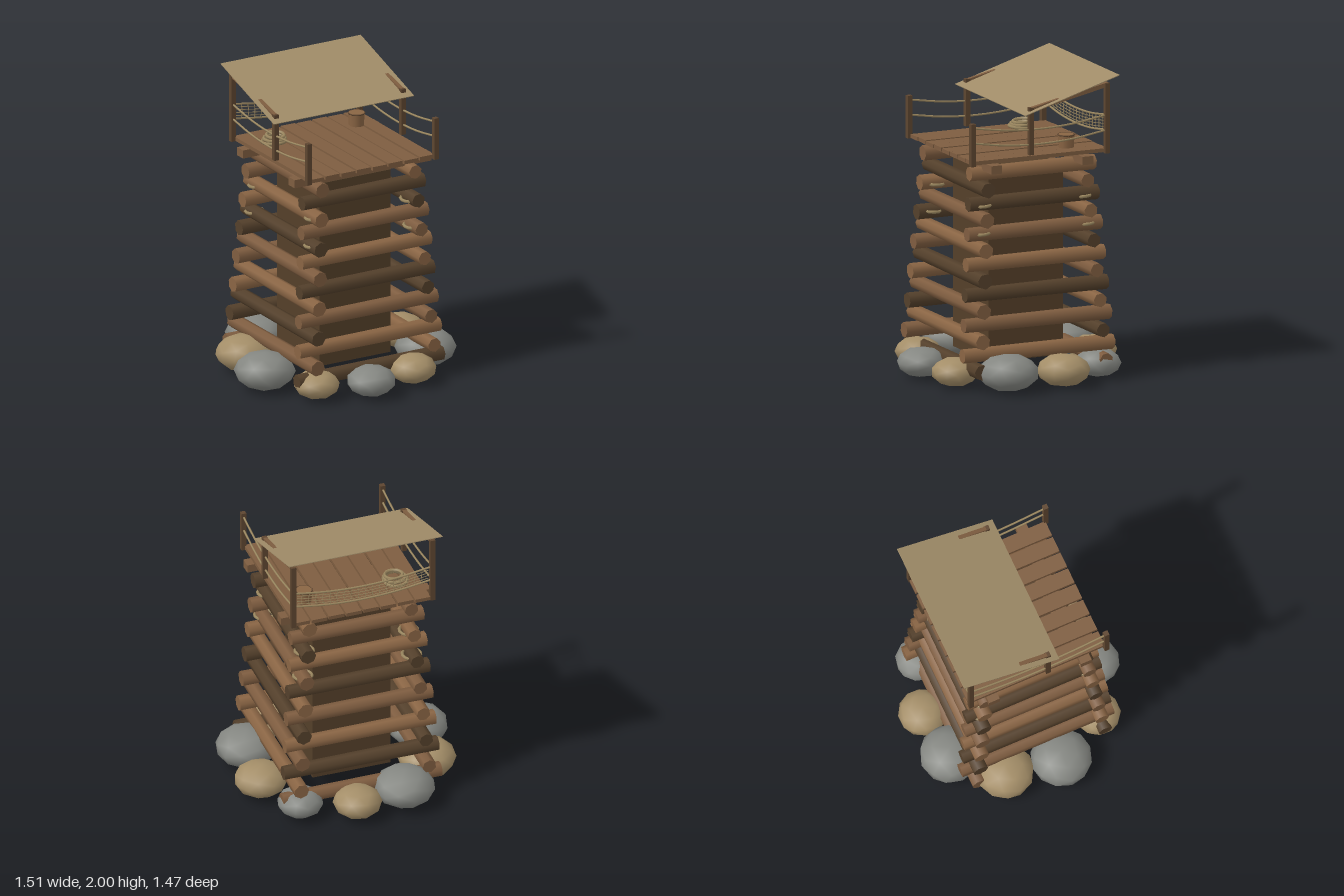
import * as THREE from 'three';

const mat = (name, color, side = THREE.FrontSide) => {
  const m = new THREE.MeshStandardMaterial({ color, side });
  m.name = name;
  return m;
};

export function createModel() {
  const model = new THREE.Group();
  model.name = 'watchtower';
  const lightLog = mat('light log wood', 0x8a6544);
  const midLog = mat('mid log wood', 0x7f5d40);
  const darkLog = mat('dark log wood', 0x54402b);
  const coreWood = mat('core wood', 0x543f29);
  const plankWood = mat('plank wood', 0x7e5d40);
  const postWood = mat('post wood', 0x5e4630);
  const canvas = mat('canvas', 0xa08c68, THREE.DoubleSide);
  const rope = mat('rope', 0x9c8860);
  const greyStone = mat('grey stone', 0x858782);
  const tanStone = mat('tan stone', 0xa48e68);

  const CX = 0.017, CZ = -0.012; // tower axis

  const add = (name, geo, material, x = 0, y = 0, z = 0, parent = model) => {
    const m = new THREE.Mesh(geo, material);
    m.name = name;
    m.position.set(x, y, z);
    parent.add(m);
    return m;
  };
  const group = (name) => {
    const g = new THREE.Group();
    g.name = name;
    model.add(g);
    return g;
  };
  const box = (name, w, h, d, material, x, y, z, parent) =>
    add(name, new THREE.BoxGeometry(w, h, d), material, x, y, z, parent);

  // Ring of flattened boulders: x, z, radius, alternating colours
  const stones = group('foundationStones');
  [
    [-0.25, -0.54, 0.2], [0.085, -0.58, 0.16], [0.43, -0.455, 0.15], [0.585, -0.135, 0.175],
    [0.55, 0.24, 0.2], [0.3, 0.5, 0.155], [-0.05, 0.57, 0.16], [-0.38, 0.44, 0.15],
    [-0.565, 0.1, 0.2], [-0.5, -0.265, 0.19],
  ].forEach(([x, z, r], i) => {
    const tan = [1, 3, 5, 7, 9].includes(i);
    const s = add('stone', new THREE.IcosahedronGeometry(1, 1), tan ? tanStone : greyStone,
      x, 0.035 + r * 0.45, z, stones);
    s.scale.set(r, r * 0.61, r);
    s.rotation.y = i * 1.3;
  });

  // Dark inner shaft
  box('innerShaft', 0.53, 1.245, 0.53, coreWood, CX, 0.7625, CZ);

  // Stacked logs, alternating direction and leaning inwards
  const logs = group('logWalls');
  for (let k = 0; k < 14; k++) {
    const y = 0.14 + k * 0.0975;
    const off = 0.442 - 0.0074 * k;
    const len = 2 * (0.54 - 0.0075 * k);
    const alongX = k % 2 === 0;
    for (const s of [1, -1]) {
      const tone = (k + (alongX === (s > 0) ? 0 : 1)) % 3;
      const geo = new THREE.CylinderGeometry(0.047, 0.051, len, 7);
      geo.rotateY(k * 0.9 + s);
      if (alongX) geo.rotateZ(s * Math.PI / 2);
      else geo.rotateX(s * Math.PI / 2);
      add('log', geo, [darkLog, midLog, lightLog][tone],
        CX + (alongX ? 0 : s * off), y, CZ + (alongX ? s * off : 0), logs);
    }
  }

  // Rope lashings on the upper corners
  const lashings = group('cornerLashings');
  for (const [y, off] of [[1.02, 0.37], [1.2, 0.355]])
    for (const sx of [1, -1]) for (const sz of [1, -1]) {
      const geo = new THREE.TorusGeometry(0.06, 0.011, 5, 12);
      geo.rotateX(Math.PI / 2 + 0.06 * sx);
      add('lashing', geo, rope, CX + sx * off, y, CZ + sz * off, lashings);
    }

  // Deck: two joists and eight planks
  const deck = group('deck');
  for (const z of [0.312, -0.335])
    box('joist', 1.02, 0.055, 0.075, plankWood, 0.02, 1.457, z, deck);
  for (let i = 0; i < 8; i++)
    box('plank', 0.105, 0.025, 0.96, plankWood,
      -0.391 + i * 0.1175, 1.5 + (i % 2) * 0.003, -0.018, deck);

  // Posts and rafters: z, bottom, top
  const frame = group('postsAndRafters');
  const sides = [-0.457, 0.49];
  for (const x of sides) {
    for (const [z, y0, y1] of [[0.465, 1.485, 1.765], [0.053, 1.525, 1.835], [-0.487, 1.485, 1.945]])
      box('post', 0.033, y1 - y0, 0.033, postWood, x, (y0 + y1) / 2, z, frame);
    const a = new THREE.Vector3(x, 1.818, 0.06), b = new THREE.Vector3(x, 1.938, -0.495);
    const beam = box('rafter', 0.026, 0.028, a.distanceTo(b), plankWood, 0, 0, 0, frame);
    beam.position.copy(a).lerp(b, 0.5);
    beam.rotation.x = Math.atan2(b.y - a.y, a.z - b.z);
  }

  // Sloping canvas roof
  const roof = box('canvasRoof', 1.045, 0.005, 0.7, canvas, 0.018, 1.897, -0.22);
  roof.rotation.x = Math.atan2(0.205, 0.67);

  // Sagging handrail ropes
  const ropes = group('handrailRopes');
  const line = (name, points, r) => {
    const curve = new THREE.CatmullRomCurve3(points.map((p) => new THREE.Vector3(...p)));
    return add(name, new THREE.TubeGeometry(curve, 12, r, 5), rope, 0, 0, 0, ropes);
  };
  const sag = (a, b, y, drop) => [0, 0.25, 0.5, 0.75, 1].map((t) =>
    [a[0] + (b[0] - a[0]) * t, y - drop * 4 * t * (1 - t), a[1] + (b[1] - a[1]) * t]);
  for (const y of [1.737, 1.638]) {
    for (const x of sides) line('sideRope', sag([x, 0.465], [x, -0.487], y, 0.048), 0.007);
    line('backRope', sag([sides[0], -0.487], [sides[1], -0.487], y, 0.046), 0.007);
  }

  // Net hung between the back ropes
  const sagAt = (x) => 0.046 * (1 - ((x - CX) / 0.4735) ** 2);
  for (let i = 0; i < 18; i++) {
    const x = -0.39 + i * 0.048;
    const top = 1.737 - sagAt(x);
    line('netStrand', [[x, top, -0.487], [x + 0.004, top - 0.05, -0.483], [x, top - 0.1, -0.487]], 0.0025);
  }
  for (let j = 1; j < 5; j++)
    line('netRow', sag([-0.43, -0.487], [0.464, -0.487], 1.733 - j * 0.02, 0.044), 0.0025);

  // Rope coil lying on the deck
  const coil = group('ropeCoil');
  [0.078, 0.07, 0.058].forEach((r, i) => {
    const geo = new THREE.TorusGeometry(r, 0.011, 5, 14);
    geo.rotateX(Math.PI / 2 + (i - 1) * 0.08);
    add('coilLoop', geo, rope, -0.29 + i * 0.006, 1.528 + i * 0.019, -0.25, coil);
  });

  // Wooden bucket
  add('bucket', new THREE.CylinderGeometry(0.055, 0.05, 0.085, 9), lightLog, 0.34, 1.557, -0.27);
  const hoop = new THREE.TorusGeometry(0.054, 0.005, 4, 12);
  hoop.rotateX(Math.PI / 2);
  add('bucketHoop', hoop, postWood, 0.34, 1.597, -0.27);

  return model;
}
